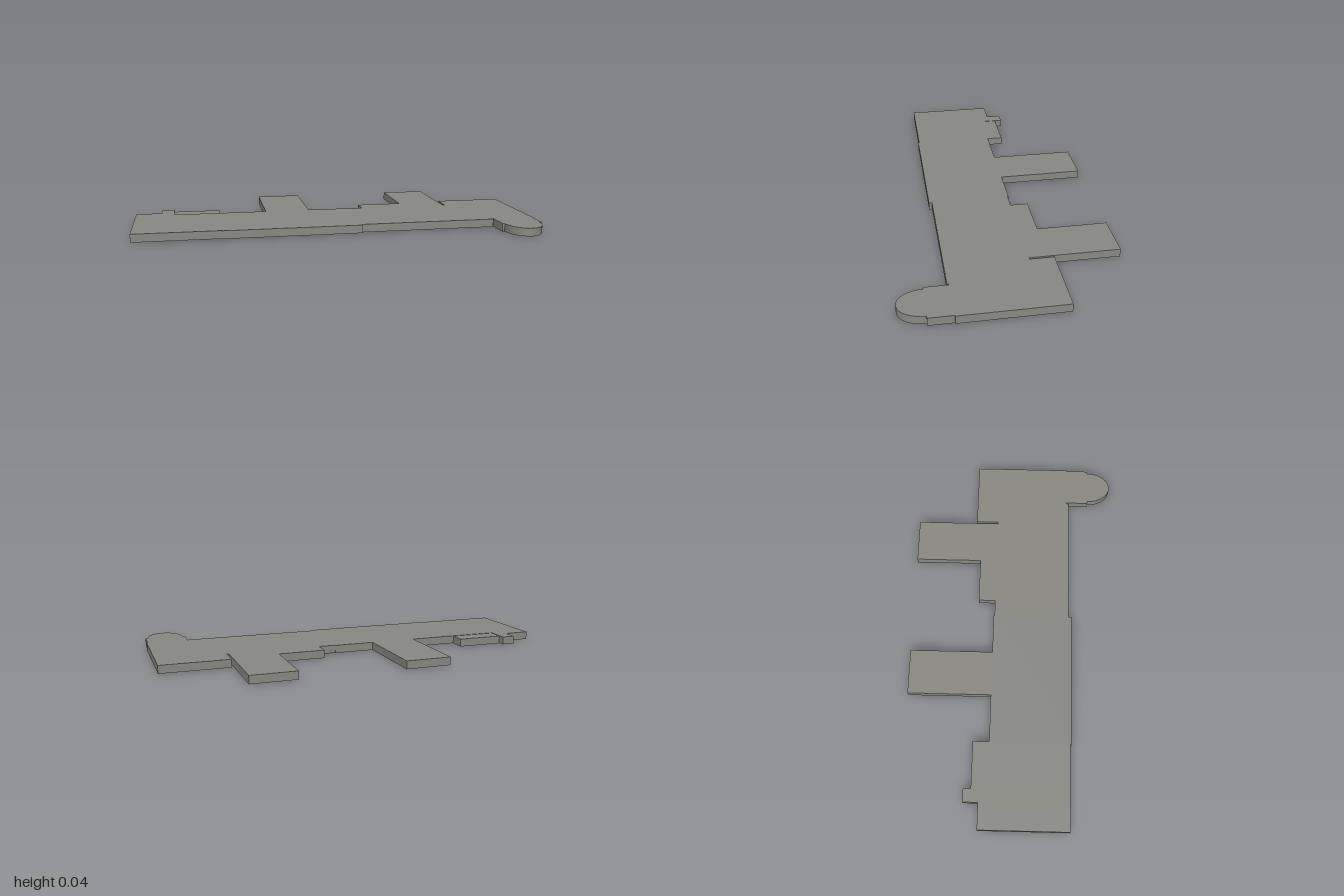
import * as THREE from 'three';

const BASE = 0.002; // underside of the slab; one bay sits slightly lower
const THICK = 0.04;

export function createModel() {
  const group = new THREE.Group();
  group.name = 'floorPlate';
  const grey = new THREE.MeshStandardMaterial({ color: 0x8a8a83 });
  grey.name = 'warm grey';

  // Flat block spanning x0..x1 and z0..z1
  function block(name, x0, x1, z0, z1, y = BASE) {
    const mesh = new THREE.Mesh(new THREE.BoxGeometry(x1 - x0, THICK, z1 - z0), grey);
    mesh.position.set((x0 + x1) / 2, y + THICK / 2, (z0 + z1) / 2);
    mesh.name = name;
    group.add(mesh);
  }

  // Long main body, as abutting sections
  block('rightEnd', -1, -0.87, -0.145, 0.305);
  block('rightStubSection', -0.87, -0.805, -0.22, 0.305);
  block('rightSection', -0.805, -0.575, -0.1, 0.305);
  block('middleSection', -0.575, 0.105, -0.1, 0.31);
  block('leftSection', 0.105, 0.66, -0.095, 0.295);
  block('leftEndInner', 0.66, 0.785, -0.21, 0.295);
  block('leftEndOuter', 0.785, 1, -0.21, 0.285);

  // Shallow bays along the back edge
  block('rightBackBay', -0.805, -0.57, -0.182, -0.1, 0);
  block('leftBackBay', 0.19, 0.423, -0.182, -0.095);

  // Two long wings reaching backwards
  block('rightWing', -0.33, -0.1, -0.525, -0.1);
  block('leftWing', 0.423, 0.65, -0.525, -0.095);

  // Front projection with a rounded end
  block('frontProjection', 0.79, 0.995, 0.285, 0.4);
  const end = new THREE.Shape();
  end.absellipse(0, 0, 0.09, 0.122, Math.PI, Math.PI * 2, false);
  end.closePath();
  const endGeometry = new THREE.ExtrudeGeometry(end, {
    depth: THICK, bevelEnabled: false, curveSegments: 16,
  });
  endGeometry.rotateX(-Math.PI / 2);
  const roundedEnd = new THREE.Mesh(endGeometry, grey);
  roundedEnd.position.set(0.892, BASE, 0.4);
  roundedEnd.name = 'roundedEnd';
  group.add(roundedEnd);

  return group;
}
